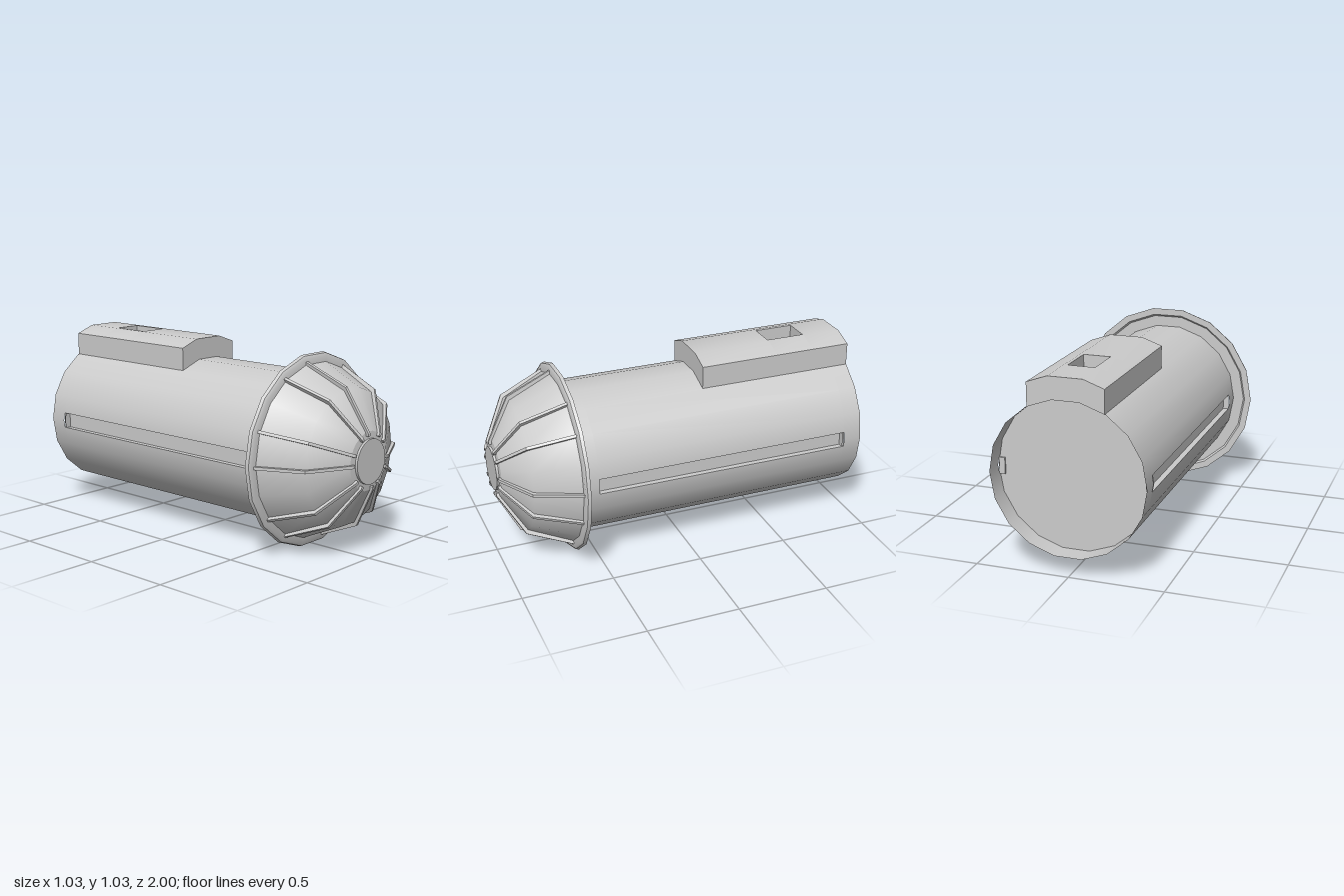
import * as THREE from 'three';
import { toCreasedNormals } from 'three/addons/utils/BufferGeometryUtils.js';

const SIDES = 18, AXIS_Y = 0.51, BODY_R = 0.41;
const SLOT = { half: 0.043, z0: -0.9, z1: 0.53, floor: 0.372 };
const solid = new THREE.MeshStandardMaterial({ color: 0xcccccc });
const thin = new THREE.MeshStandardMaterial({ color: 0xcccccc, side: THREE.DoubleSide });

function mesh(name, geometry, material = solid) {
  const m = new THREE.Mesh(geometry, material);
  m.name = name;
  return m;
}

// Revolve [radius, z] points about the z axis, with a corner on +x
function revolve(points) {
  const pts = points.map(([r, z]) => new THREE.Vector2(r, z));
  return new THREE.LatheGeometry(pts, SIDES, Math.PI / 2).rotateX(Math.PI / 2);
}

// Sweep an [x, y] polyline along z, with smooth radial normals
function sweep(points, z0, z1) {
  const pos = [], nor = [], idx = [];
  points.forEach(([x, y], i) => {
    const l = Math.hypot(x, y);
    pos.push(x, y, z0, x, y, z1);
    nor.push(x / l, y / l, 0, x / l, y / l, 0);
    const a = 2 * i;
    if (i) idx.push(a - 2, a, a + 1, a - 2, a + 1, a - 1);
  });
  const g = new THREE.BufferGeometry();
  g.setAttribute('position', new THREE.Float32BufferAttribute(pos, 3));
  g.setAttribute('normal', new THREE.Float32BufferAttribute(nor, 3));
  g.setIndex(idx);
  return g;
}

// Corners of the body polygon from index a to b
function corners(a, b) {
  const out = [];
  for (let i = a; i <= b; i++) {
    const t = (i / SIDES) * Math.PI * 2;
    out.push([BODY_R * Math.cos(t), BODY_R * Math.sin(t)]);
  }
  return out;
}

// Extrude an [x, y] outline between two z positions
function prism(points, z0, z1) {
  const shape = new THREE.Shape(points.map(([x, y]) => new THREE.Vector2(x, y)));
  const g = new THREE.ExtrudeGeometry(shape, { depth: z1 - z0, bevelEnabled: false });
  return g.translate(0, 0, z0);
}

export function createModel() {
  const model = new THREE.Group();
  const group = new THREE.Group();
  group.name = 'canister';
  group.position.y = AXIS_Y;
  model.add(group);

  // Thin tubular body, closed at both ends of the slots, open between their edges
  const ring = corners(0, SIDES);
  group.add(mesh('bodyRear', sweep(ring, -1, SLOT.z0), thin));
  group.add(mesh('bodyFront', sweep(ring, SLOT.z1, 0.62), thin));
  const edgeX = BODY_R - SLOT.half * Math.tan(Math.PI / SIDES);
  const upper = [[edgeX, SLOT.half], ...corners(1, 8), [-edgeX, SLOT.half]];
  const lower = upper.map(([x, y]) => [-x, -y]);
  group.add(mesh('bodyUpper', sweep(upper, SLOT.z0, SLOT.z1), thin));
  group.add(mesh('bodyLower', sweep(lower, SLOT.z0, SLOT.z1), thin));

  // Recessed rear bulkhead
  const bulkhead = new THREE.CircleGeometry(BODY_R, SIDES).rotateY(Math.PI);
  group.add(mesh('rearBulkhead', bulkhead.translate(0, 0, -0.89), thin));

  // Long shallow side slots: boxes without their outer face
  for (const [name, turn] of [['leftSlot', 0], ['rightSlot', Math.PI]]) {
    const g = new THREE.BoxGeometry(edgeX - SLOT.floor, SLOT.half * 2, SLOT.z1 - SLOT.z0);
    g.setIndex(Array.from(g.index.array).slice(6));
    g.clearGroups();
    g.translate((edgeX + SLOT.floor) / 2, 0, (SLOT.z0 + SLOT.z1) / 2).rotateZ(turn);
    group.add(mesh(name, g, thin));
  }

  // Saddle housing on top, split around its rectangular opening
  const saddle = [[0.2, 0.356], [0.2, 0.48], [0.091, 0.519], [-0.091, 0.519],
    [-0.2, 0.48], [-0.2, 0.356], [-0.071, 0.402], [0.071, 0.402]];
  const cheek = [[0.2, 0.356], [0.2, 0.48], [0.091, 0.519], [0.072, 0.519], [0.072, 0.402]];
  const otherCheek = cheek.map(([x, y]) => [-x, y]);
  const housing = new THREE.Group();
  housing.name = 'topHousing';
  for (const [name, outline, z0, z1] of [
    ['housingFront', saddle, -0.57, -0.13], ['housingRear', saddle, -1, -0.785],
    ['housingLeft', cheek, -0.785, -0.57], ['housingRight', otherCheek, -0.785, -0.57],
  ]) housing.add(mesh(name, toCreasedNormals(prism(outline, z0, z1), 0.5)));
  group.add(housing);

  // Flange between body and nose
  const flange = revolve([[0.4, 0.62], [0.47, 0.62], [0.48, 0.61], [0.517, 0.61],
    [0.512, 0.628], [0.5, 0.636], [0.45, 0.636]]);
  group.add(mesh('flange', toCreasedNormals(flange, 0.6), thin));

  // Domed nose with a raised round cap
  group.add(mesh('noseDome', revolve([[0.468, 0.632], [0.36, 0.868], [0.155, 0.983]])));
  group.add(mesh('noseTip', revolve([[0.155, 0.983], [0.11, 0.988]])));
  const cap = new THREE.CylinderGeometry(0.118, 0.118, 0.03, 40).rotateX(Math.PI / 2);
  group.add(mesh('noseCap', cap.translate(0, 0, 0.985)));

  // Twelve narrow ribs in six pairs, following the dome
  const rib = [[0.455, 0.625], [0.484, 0.632], [0.378, 0.878], [0.15, 1],
    [0.135, 1], [0.135, 0.97], [0.34, 0.855]];
  const ribGeometry = prism(rib, -0.008, 0.008).rotateX(Math.PI / 2);
  const ribs = new THREE.Group();
  ribs.name = 'noseRibs';
  for (let k = 0; k < 6; k++) {
    for (const offset of [1, 39]) {
      const m = mesh('noseRib', ribGeometry);
      m.rotation.z = THREE.MathUtils.degToRad(k * 60 + offset);
      ribs.add(m);
    }
  }
  group.add(ribs);

  return model;
}
